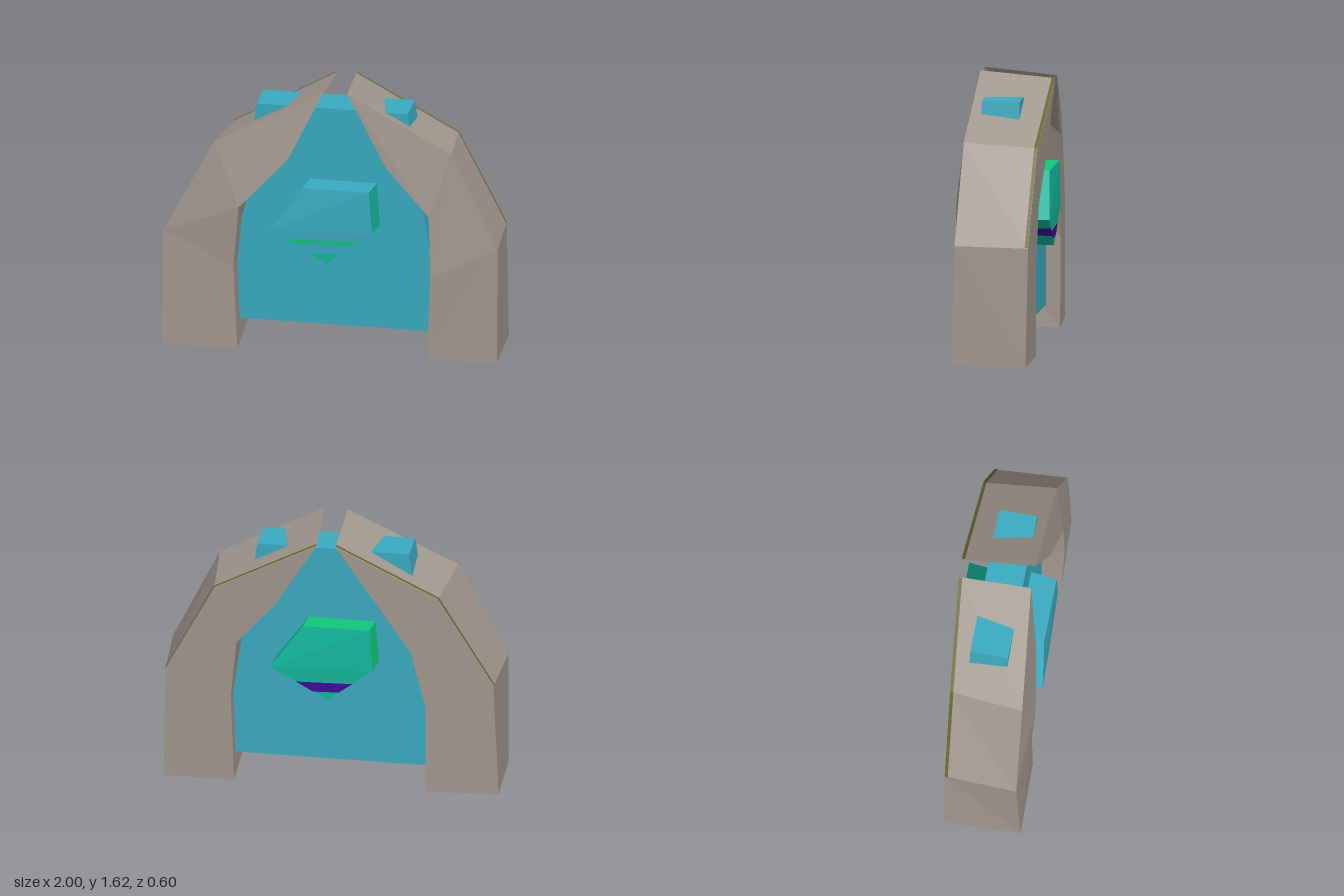
import * as THREE from 'three';

const mat = (name, color) => {
  const m = new THREE.MeshStandardMaterial({ color });
  m.name = name;
  return m;
};
const V = (p) => new THREE.Vector3(...p);
const mix = (a, b, t) => a.clone().lerp(b, t);

// Collects flat polygons (counter-clockwise corners) and makes one faceted mesh
class Facets {
  constructor(flip = false) { this.flip = flip; this.points = []; }
  add(...corners) {
    const c = this.flip ? corners.reverse() : corners;
    for (let i = 1; i < c.length - 1; i++) this.points.push(c[0], c[i], c[i + 1]);
  }
  mesh(name, material) {
    const g = new THREE.BufferGeometry().setFromPoints(this.points);
    g.computeVertexNormals();
    const m = new THREE.Mesh(g, material);
    m.name = name;
    return m;
  }
}

// Half arch from front and back outlines: outer edge, tip, then inner edge
function halfArch(name, front, back, flip, stone, moss) {
  const f = front.map(V), b = back.map(V), n = f.length;
  const body = new Facets(flip);
  for (let i = 0; i < 3; i++) {
    const k = n - 1 - i;
    body.add(f[i], f[k], f[k - 1], f[i + 1]);
    body.add(b[i + 1], b[k - 1], b[k], b[i]);
  }
  for (let i = 0; i < n; i++) {
    const j = (i + 1) % n;
    body.add(f[i], f[j], b[j], b[i]);
  }
  // thin mossy line on the outer back edge
  const trim = new Facets(flip);
  const lift = new THREE.Vector3(flip ? 0.003 : -0.003, 0.004, 0);
  const edge = b.map((p) => p.clone().add(lift));
  const inner = b.map((p, i) => mix(p, f[i], 0.045).add(lift));
  for (let i = 1; i < 3; i++) trim.add(inner[i], inner[i + 1], edge[i + 1], edge[i]);

  const group = new THREE.Group();
  group.name = name;
  group.add(body.mesh(name + 'Stone', stone), trim.mesh(name + 'Moss', moss));
  return group;
}

// Five-sided gem boss; faceBands and sideBands colour the lower point
function gemBoss(name, c) {
  const f = [[-0.335, 0.775, 0.295], [-0.145, 1.04, 0.262], [0.25, 1.04, 0.248],
    [0.27, 0.78, 0.252], [0, 0.575, 0.262]].map(V);
  const b = f.map((p) => new THREE.Vector3(p.x + 0.015, p.y, 0.06));
  const sets = new Map();
  const put = (m, ...corners) => {
    if (!sets.has(m)) sets.set(m, new Facets());
    sets.get(m).add(...corners);
  };
  put(c.face, f[0], f[3], f[2], f[1]);
  c.faceBands.forEach(([t0, t1, m]) => put(m, mix(f[0], f[4], t0), mix(f[0], f[4], t1),
    mix(f[3], f[4], t1), mix(f[3], f[4], t0)));
  c.sides.forEach((m, i) => put(m, f[i], f[i + 1], b[i + 1], b[i]));
  c.sideBands.forEach(([t0, t1, m]) => {
    put(m, mix(f[3], f[4], t0), mix(f[3], f[4], t1), mix(b[3], b[4], t1), mix(b[3], b[4], t0));
    put(m, mix(f[0], f[4], t1), mix(f[0], f[4], t0), mix(b[0], b[4], t0), mix(b[0], b[4], t1));
  });
  const group = new THREE.Group();
  group.name = name;
  sets.forEach((s, m) => group.add(s.mesh(name + m.name, m)));
  return group;
}

export function createModel() {
  const stone = mat('Stone', 0xa1978d);
  const blue = mat('Blue', 0x39aac0);
  const teal = mat('Teal', 0x12b89c);
  const green = mat('Green', 0x10c878);
  const purple = mat('Purple', 0x45089a);
  const moss = mat('Moss', 0x66662f);

  const model = new THREE.Group();
  model.name = 'stoneGate';

  // two leaning stone halves that nearly meet at the top
  model.add(halfArch('rightArch',
    [[-0.97, 0, 0.305], [-0.975, 0.71, 0.28], [-0.68, 1.28, 0.25], [-0.04, 1.615, 0.16],
      [-0.24, 1.2, 0.235], [-0.52, 0.9, 0.295], [-0.555, 0.52, 0.28], [-0.53, 0, 0.28]],
    [[-1, 0, -0.145], [-0.97, 0.7, -0.15], [-0.645, 1.25, -0.19], [-0.05, 1.575, -0.27],
      [-0.36, 1.18, -0.235], [-0.487, 0.9, -0.205], [-0.575, 0.54, -0.195], [-0.573, 0, -0.193]],
    false, stone, moss));
  model.add(halfArch('leftArch',
    [[1, 0, 0.17], [1, 0.71, 0.148], [0.72, 1.28, 0.145], [0.1, 1.615, 0.157],
      [0.34, 1.18, 0.19], [0.6, 0.9, 0.21], [0.612, 0.52, 0.215], [0.588, 0, 0.202]],
    [[0.975, 0, -0.27], [0.96, 0.7, -0.282], [0.67, 1.25, -0.286], [0.06, 1.575, -0.28],
      [0.3, 1.18, -0.275], [0.54, 0.9, -0.27], [0.575, 0.53, -0.26], [0.557, 0, -0.255]],
    true, stone, moss));

  // slab filling the arch, its top corners poking through the stone
  const outline = new THREE.Shape([[-0.65, 0.13], [0.65, 0.13], [0.445, 1.49], [-0.455, 1.49]]
    .map(([x, y]) => new THREE.Vector2(x, y)));
  const slab = new THREE.Mesh(
    new THREE.ExtrudeGeometry(outline, { depth: 0.225, bevelEnabled: false }).translate(0, 0, -0.125), blue);
  slab.name = 'portalSlab';
  slab.rotation.y = 0.03;
  model.add(slab);

  // gem bosses on both faces of the slab
  const sideBands = [[0, 0.34, teal], [0.34, 0.63, purple], [0.63, 1, teal]];
  model.add(gemBoss('frontGem', {
    face: blue, sides: [blue, blue, teal], sideBands,
    faceBands: [[0, 0.27, blue], [0.27, 0.39, green], [0.39, 0.68, blue], [0.68, 1, teal]],
  }));
  const backGem = gemBoss('backGem', {
    face: teal, sides: [teal, green, green], sideBands,
    faceBands: [[0, 0.45, teal], [0.45, 0.75, purple], [0.75, 1, teal]],
  });
  backGem.rotation.y = Math.PI;
  model.add(backGem);

  return model;
}
